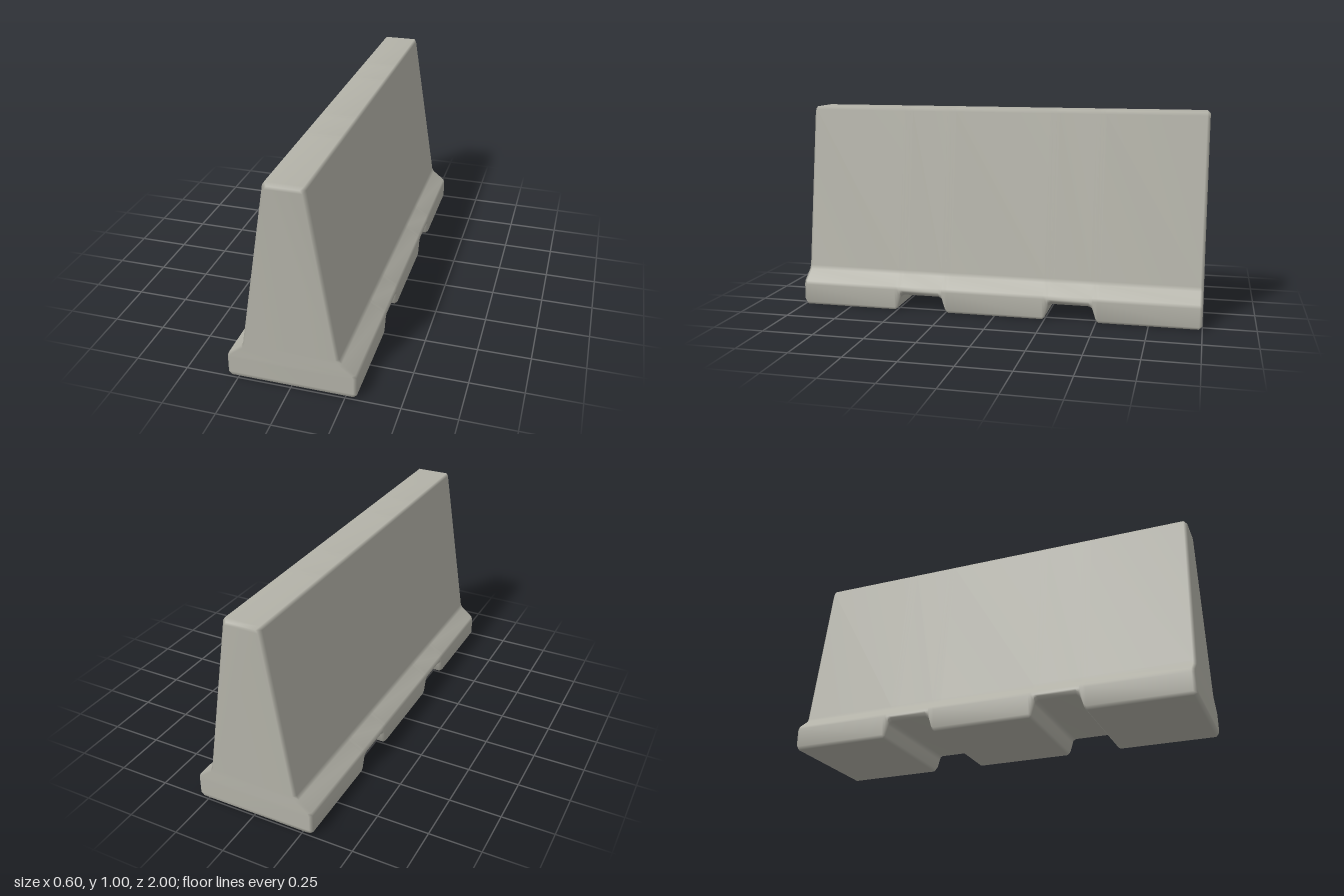
import * as THREE from 'three';

// Right half of the cross-section, bottom to top; b is the underside height, s the end bevel inset
function section(b, s) {
  const half = [
    [0.285, b], [0.3, b + 0.015], [0.3, 0.105], [0.293, 0.122],
    [0.232, 0.17], [0.221, 0.19], [0.093, 0.985], [0.083, 1],
  ].map(([x, y]) => [x - s, y > 0.9 ? y - s : y]);
  return [...half, ...half.map(([x, y]) => [-x, y]).reverse()];
}

// Lofts the sections along z, closing both ends with strips
function loft(stations) {
  const pos = [], index = [];
  const n = 16, last = (stations.length - 1) * n;
  for (const [z, b, s = 0] of stations) {
    for (const [x, y] of section(b, s)) pos.push(x, y, z);
  }
  for (let k = 0; k < last; k += n) {
    for (let i = 0; i < n; i++) {
      const j = (i + 1) % n;
      index.push(k + i, k + j, k + n + j, k + i, k + n + j, k + n + i);
    }
  }
  for (let i = 0; i < n / 2 - 1; i++) {
    const a = i, b = i + 1, c = n - 2 - i, d = n - 1 - i;
    index.push(last + a, last + b, last + c, last + a, last + c, last + d);
    index.push(a, c, b, a, d, c);
  }
  const geo = new THREE.BufferGeometry();
  geo.setAttribute('position', new THREE.Float32BufferAttribute(pos, 3));
  geo.setIndex(index);
  geo.computeVertexNormals();
  return geo;
}

export function createModel() {
  const group = new THREE.Group();
  group.name = 'roadBarrier';
  const concrete = new THREE.MeshStandardMaterial({ color: 0xb3b2a8 });

  // Front half as [z, underside height, inset]: drainage notch, then bevelled end
  const front = [
    [0.238, 0], [0.25, 0.012], [0.265, 0.06], [0.27, 0.072], [0.285, 0.08],
    [0.465, 0.08], [0.48, 0.072], [0.485, 0.06], [0.5, 0.012], [0.512, 0],
    [0.985, 0], [1, 0.013, 0.013],
  ];
  const back = front.map(([z, b, s]) => [-z, b, s]).reverse();

  const body = new THREE.Mesh(loft([...back, ...front]), concrete);
  body.name = 'barrierBody';
  group.add(body);
  return group;
}
